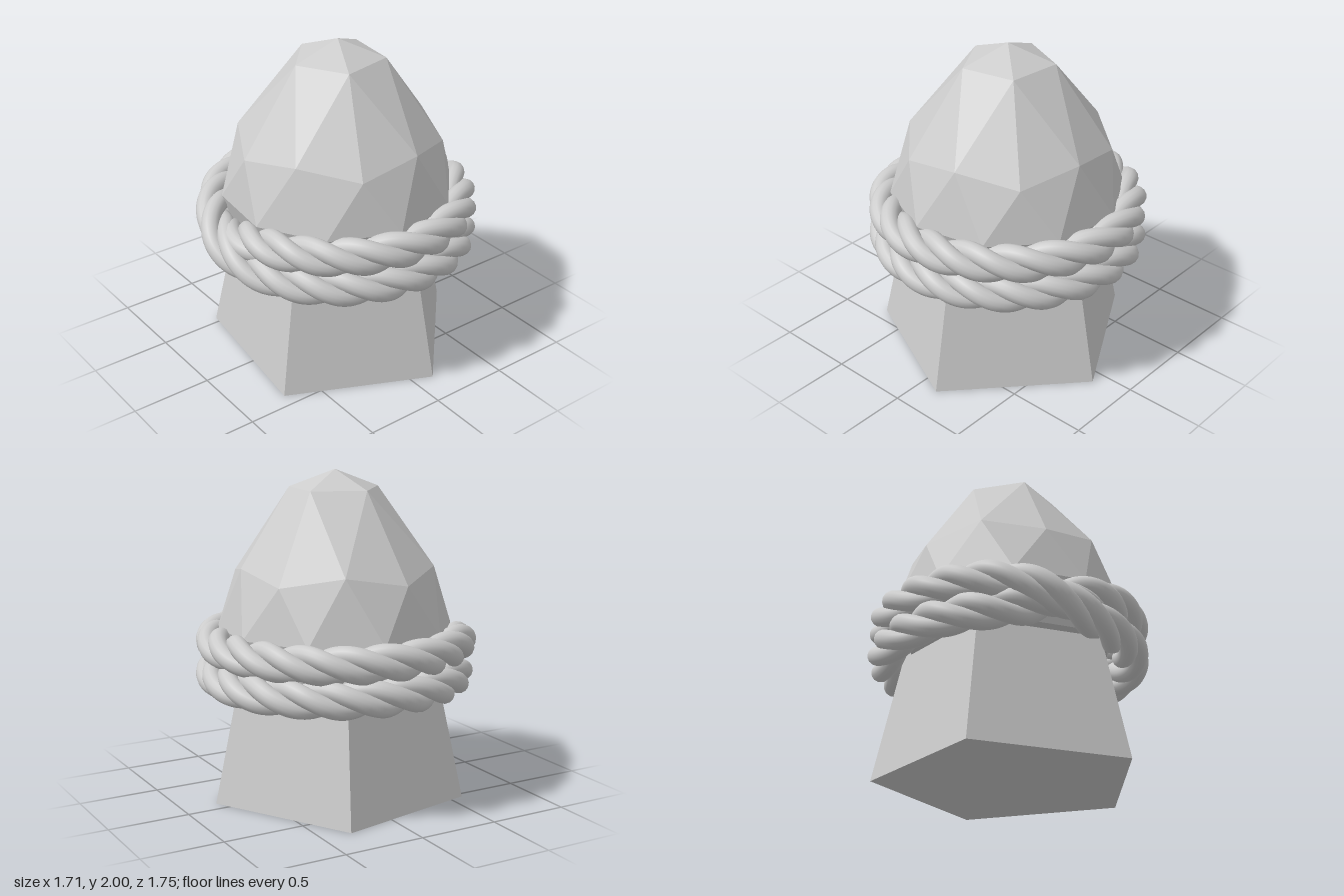
import * as THREE from 'three';

const grey = () => new THREE.MeshStandardMaterial({ color: 0xcccccc, flatShading: true });

// Faceted mesh from a list of triangle corner points
function facetMesh(name, points) {
  const geometry = new THREE.BufferGeometry().setFromPoints(points);
  geometry.computeVertexNormals();
  const mesh = new THREE.Mesh(geometry, grey());
  mesh.name = name;
  return mesh;
}

// Horizontal ring of points, angle measured from +x towards +z
function ring(count, startDeg, radius, y) {
  return Array.from({ length: count }, (_, i) => {
    const a = THREE.MathUtils.degToRad(startDeg + (i * 360) / count);
    return new THREE.Vector3(radius * Math.cos(a), y, radius * Math.sin(a));
  });
}

// Five-sided tapering foot
function createBase() {
  const corners = [[0.8, -0.13], [0.41, 0.71], [-0.545, 0.59], [-0.74, -0.315], [0.09, -0.78]];
  const level = (s, y) => corners.map(([x, z]) => new THREE.Vector3(x * s, y, z * s));
  const low = level(1, 0), high = level(0.745, 0.95);
  const bottom = new THREE.Vector3(), top = new THREE.Vector3(0, 0.95, 0);
  const tris = [];
  for (let i = 0; i < 5; i++) {
    const j = (i + 1) % 5;
    tris.push(low[i], high[i], low[j], low[j], high[i], high[j]);
    tris.push(bottom, low[i], low[j], top, high[j], high[i]);
  }
  return facetMesh('base', tris);
}

// Geodesic dome, drawn out towards the tip
function createDome() {
  const start = 24;
  const apex = new THREE.Vector3(0, 2, 0);
  const upper = ring(5, start, 0.284, 1.89);
  const even = ring(5, start, 0.632, 1.37);
  const odd = ring(5, start + 36, 0.605, 1.435);
  const middle = even.flatMap((p, i) => [p, odd[i]]);
  const rim = ring(10, start + 18, 0.717, 1.05);
  const under = ring(10, start + 18, 0.62, 0.78);
  const centre = new THREE.Vector3(0, 0.78, 0);
  const tris = [];
  for (let k = 0; k < 5; k++) {
    const a = upper[k], b = upper[(k + 1) % 5];
    const m = middle[2 * k], next = middle[2 * k + 1], prev = middle[(2 * k + 9) % 10];
    tris.push(apex, b, a, a, b, next, a, next, m, a, m, prev);
  }
  for (let j = 0; j < 10; j++) {
    const n = (j + 1) % 10;
    tris.push(middle[j], middle[n], rim[j], middle[n], rim[n], rim[j]);
    tris.push(rim[j], rim[n], under[j], rim[n], under[n], under[j]);
    tris.push(centre, under[j], under[n]);
  }
  return facetMesh('dome', tris);
}

// Centre line of the rope: two turns that cross over at the front
class RopePath extends THREE.Curve {
  constructor(strand) {
    super();
    this.strand = strand;
  }
  getPoint(t, target = new THREE.Vector3()) {
    const s = t * 4 * Math.PI;
    const wave = Math.tanh(6 * Math.sin(s / 2));
    const crossing = (1 - wave * wave) * Math.cos(s / 2);
    // 13 full twists over the two turns
    const twist = -6.5 * s + (this.strand * 2 * Math.PI) / 3;
    const radius = 0.742 + 0.045 * crossing + 0.056 * Math.cos(twist);
    const phi = s - 0.13;
    return target.set(
      radius * Math.sin(phi),
      0.868 - 0.1 * wave + 0.056 * Math.sin(twist),
      radius * Math.cos(phi)
    );
  }
}

// Three smooth strands laid together
function createRope() {
  const rope = new THREE.Group();
  rope.name = 'rope';
  for (let i = 0; i < 3; i++) {
    const geometry = new THREE.TubeGeometry(new RopePath(i), 600, 0.058, 14, true);
    const strand = new THREE.Mesh(geometry, new THREE.MeshStandardMaterial({ color: 0xcccccc }));
    strand.name = 'ropeStrand' + (i + 1);
    rope.add(strand);
  }
  return rope;
}

export function createModel() {
  const model = new THREE.Group();
  model.name = 'ropedStone';
  model.add(createBase(), createDome(), createRope());
  return model;
}
